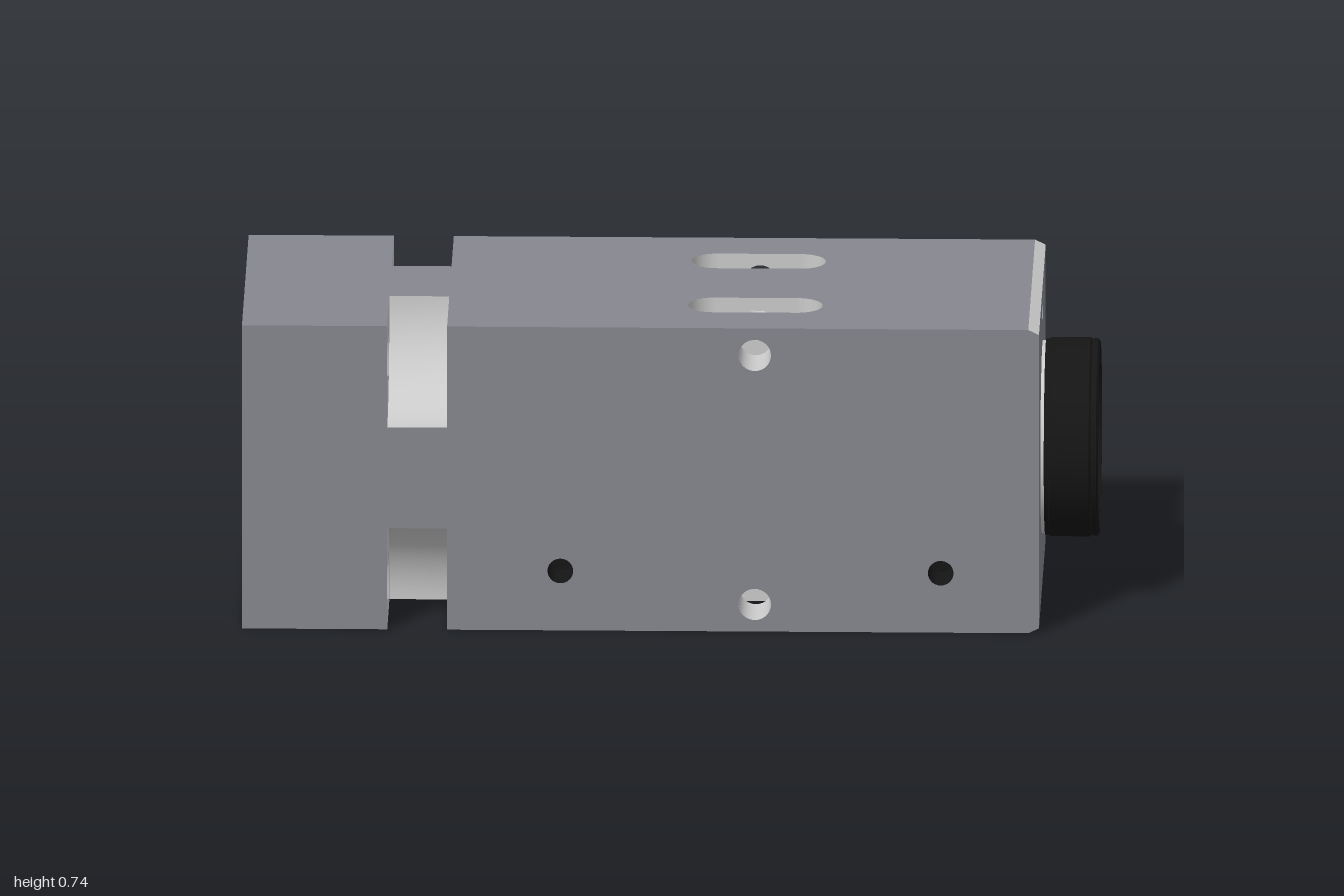
import * as THREE from 'three';
import { toCreasedNormals } from 'three/addons/utils/BufferGeometryUtils.js';

const H = 0.37;                      // half height and half depth of the block
const NOTCH = 0.247, NX0 = -0.66, NX1 = -0.52;
const END = 0.865, CH_X = 0.84, CH_Y = 0.012;
const BORE = 0.2;
const SLOT = { x: 0.1975, half: 0.0975, z: 0.18, r: 0.06 };
const PIN = { x: 0.2, y: 0.304, r: 0.038 };
const BOLT = { c: 0.272, r: 0.058 };

const mat = (color) => new THREE.MeshStandardMaterial({ color, side: THREE.DoubleSide });

export function createModel() {
  const model = new THREE.Group();
  const root = new THREE.Group();    // origin on the bore axis
  root.name = 'opticsBlock';
  root.position.y = H;
  model.add(root);
  const painted = mat(0x85878f), metal = mat(0xcccccc), black = mat(0x151515);

  const add = (name, geo, material, parent = root) => {
    const m = new THREE.Mesh(geo, material);
    m.name = name;
    parent.add(m);
    return m;
  };
  const mirrored = (name, sx, sy, sz) => {
    const g = new THREE.Group();
    g.name = name;
    g.scale.set(sx, sy, sz);
    root.add(g);
    return g;
  };
  const polygon = (pts) => new THREE.Shape(pts.map(([x, y]) => new THREE.Vector2(x, y)));
  const rect = (x0, y0, x1, y1) => polygon([[x0, y0], [x1, y0], [x1, y1], [x0, y1]]);
  const drill = (shape, x, y, r) => shape.holes.push(new THREE.Path().absarc(x, y, r, 0, Math.PI * 2, true));
  const flat = (shape) => new THREE.ShapeGeometry(shape, 24);
  // curved sheet from a rule (u, v) -> [x, y, z]
  const sheet = (rule, nu, nv) => {
    const g = new THREE.PlaneGeometry(1, 1, nu, nv);
    const p = g.attributes.position;
    for (let i = 0; i < p.count; i++) p.setXYZ(i, ...rule(p.getX(i) + 0.5, p.getY(i) + 0.5));
    g.computeVertexNormals();
    return g;
  };
  // hole lining between a and b along x or z, optionally with a floor at b
  const lining = (name, axis, p, q, r, a, b, material, floor = false, parent = root) => {
    const g = new THREE.CylinderGeometry(r, r, Math.abs(b - a), 28, 1, true);
    const f = new THREE.CircleGeometry(r, 28);
    const mid = (a + b) / 2;
    if (axis === 'x') {
      g.rotateZ(Math.PI / 2).translate(mid, p, q);
      f.rotateY(Math.PI / 2).translate(b, p, q);
    } else {
      g.rotateX(Math.PI / 2).translate(p, q, mid);
      f.translate(p, q, b);
    }
    add(name, g, material, parent);
    if (floor) add(name + 'Floor', f, material, parent);
  };
  const lathe = (name, pts, material) => {
    const g = new THREE.LatheGeometry(pts.map(([x, r]) => new THREE.Vector2(r, x)), 64);
    g.rotateZ(-Math.PI / 2);
    return add(name, toCreasedNormals(g, 0.4), material);
  };

  // outline of a long face, with the corner notches left out
  const N = H - NOTCH;
  const outline = (tip) => polygon([
    [-1, -H], [NX0, -H], [NX0, -N], [NX1, -N], [NX1, -H], [CH_X, -H],
    ...(tip ? [[END, -H + CH_Y], [END, H - CH_Y]] : []),
    [CH_X, H], [NX1, H], [NX1, N], [NX0, N], [NX0, H], [-1, H]]);

  // front and back faces, with pin holes and threaded blind holes
  const side = outline(true);
  for (const s of [1, -1]) drill(side, PIN.x, s * PIN.y, PIN.r);
  const threadX = [-0.255, 0.635];
  for (const x of threadX) drill(side, x, -0.225, 0.03);
  for (const s of [1, -1]) {
    const g = mirrored(s > 0 ? 'frontSide' : 'backSide', 1, 1, s);
    add('sideFace', flat(side).translate(0, 0, H), painted, g);
    for (const x of threadX) lining('threadedHole', 'z', x, -0.225, 0.03, H, 0.26, black, true, g);
    for (const y of [PIN.y, -PIN.y]) {
      lining('outerPinHole', 'z', PIN.x, y, PIN.r, H, SLOT.z + SLOT.r, metal, false, g);
      lining('innerPinHole', 'z', PIN.x, y, PIN.r, SLOT.z - SLOT.r, 0, metal, false, g);
    }
  }

  // top and bottom faces with two long slots, and the end chamfers
  const lid = outline(false);
  for (const s of [1, -1]) {
    const p = new THREE.Path();
    p.absarc(SLOT.x + SLOT.half, s * SLOT.z, SLOT.r, -Math.PI / 2, Math.PI / 2, false);
    p.absarc(SLOT.x - SLOT.half, s * SLOT.z, SLOT.r, Math.PI / 2, Math.PI * 1.5, false);
    p.closePath();
    lid.holes.push(p);
  }
  for (const s of [1, -1]) {
    const g = mirrored(s > 0 ? 'topSide' : 'bottomSide', 1, s, 1);
    add('lidFace', flat(lid).rotateX(-Math.PI / 2).translate(0, H, 0), painted, g);
    add('endChamfer', sheet((u, v) => [CH_X + u * (END - CH_X), H - u * CH_Y, H - 2 * H * v], 1, 1), metal, g);
    // part of the bore left between the two slots
    const lim = Math.asin((SLOT.z - SLOT.r) / BORE);
    add('boreBridge', sheet((u, v) => {
      const a = (2 * v - 1) * lim;
      return [SLOT.x + (2 * u - 1) * (SLOT.half + SLOT.r), BORE * Math.cos(a), BORE * Math.sin(a)];
    }, 1, 16), metal, g);
  }

  // slot walls, opening into the bore
  const toBore = (z) => Math.sqrt(Math.max(0, BORE * BORE - z * z));
  const x0 = SLOT.x - SLOT.half, x1 = SLOT.x + SLOT.half;
  for (const sy of [1, -1]) for (const sz of [1, -1]) {
    const g = mirrored('slotWalls', 1, sy, sz);
    for (const z of [SLOT.z - SLOT.r, SLOT.z + SLOT.r]) {
      const w = rect(x0, toBore(z), x1, H);
      drill(w, PIN.x, PIN.y, PIN.r);
      add('slotWall', flat(w).translate(0, 0, z), metal, g);
    }
    for (const sx of [1, -1]) {
      add('slotEnd', sheet((u, v) => {
        const a = (u - 0.5) * Math.PI, z = SLOT.z + SLOT.r * Math.sin(a);
        return [SLOT.x + sx * (SLOT.half + SLOT.r * Math.cos(a)), H + (toBore(z) - H) * v, z];
      }, 20, 1), metal, g);
      // bore slivers beside the rounded slot ends
      const lim = Math.asin((SLOT.z - SLOT.r) / BORE);
      add('boreSliver', sheet((u, v) => {
        const a = lim + v * (Math.PI / 2 - lim), z = BORE * Math.sin(a);
        const e = Math.sqrt(Math.max(0, SLOT.r ** 2 - (z - SLOT.z) ** 2));
        return [SLOT.x + sx * (SLOT.half + SLOT.r + u * (e - SLOT.r)), BORE * Math.cos(a), z];
      }, 1, 16), metal, g);
    }
  }

  // corner notches with bolt holes through the flange
  for (const sy of [1, -1]) for (const sz of [1, -1]) {
    const g = mirrored('cornerNotch', 1, sy, sz);
    add('notchArc', sheet((u, v) => {
      const a = v * Math.PI / 2;
      return [NX0 + u * (NX1 - NX0), H - NOTCH * Math.cos(a), H - NOTCH * Math.sin(a)];
    }, 1, 20), metal, g);
    for (const x of [NX0, NX1]) {
      const q = new THREE.Shape();
      q.moveTo(H, H);
      q.lineTo(H, H - NOTCH);
      q.absarc(H, H, NOTCH, -Math.PI / 2, -Math.PI, true);
      q.closePath();
      if (x === NX0) drill(q, BOLT.c, BOLT.c, BOLT.r);
      add('notchWall', flat(q).rotateY(-Math.PI / 2).translate(x, 0, 0), metal, g);
    }
    lining('boltHole', 'x', BOLT.c, BOLT.c, BOLT.r, -1, NX0, metal, false, g);
  }

  // flange end face
  const flange = rect(-H, -H, H, H);
  drill(flange, 0, 0, 0.245);
  for (const y of [1, -1]) for (const z of [1, -1]) drill(flange, z * BOLT.c, y * BOLT.c, BOLT.r);
  for (const [z, y, r] of [[0, 0.313, 0.028], [0.312, -0.06, 0.019], [-0.312, -0.06, 0.019]]) {
    drill(flange, z, y, r);
    lining('dowelHole', 'x', y, z, r, -1, -0.88, metal, true);
  }
  add('flangeFace', flat(flange).rotateY(-Math.PI / 2).translate(-1, 0, 0), painted);

  // lens end face
  const lensEnd = rect(-H, -H + CH_Y, H, H - CH_Y);
  drill(lensEnd, 0, 0, 0.2);
  drill(lensEnd, 0, 0.307, 0.02);
  add('lensEndFace', flat(lensEnd).rotateY(Math.PI / 2).translate(END, 0, 0), painted);
  lining('setScrewHole', 'x', 0.307, 0, 0.02, END, 0.78, metal, true);

  // stepped bore, interrupted by the slots
  lathe('flangeBore', [[-1, 0.245], [-0.9, 0.245], [-0.9, BORE], [SLOT.x - SLOT.half - SLOT.r, BORE]], metal);
  lathe('lensBore', [[SLOT.x + SLOT.half + SLOT.r, BORE], [0.74, BORE], [0.74, 0.157],
    [0.795, 0.157], [0.8, 0.162], [0.8, 0.185]], metal);

  // protruding lens mount ring
  lathe('ringNeck', [[END - 0.005, 0.226], [0.876, 0.226]], metal);
  lathe('mountRing', [[0.8, 0.183], [0.9, 0.183], [0.9, 0.205], [0.985, 0.207], [1, 0.214], [1, 0.224],
    [0.995, 0.231], [0.985, 0.231], [0.982, 0.228], [0.978, 0.233], [0.886, 0.233],
    [0.882, 0.229], [0.873, 0.229], [0.873, 0.2]], black);

  return model;
}
